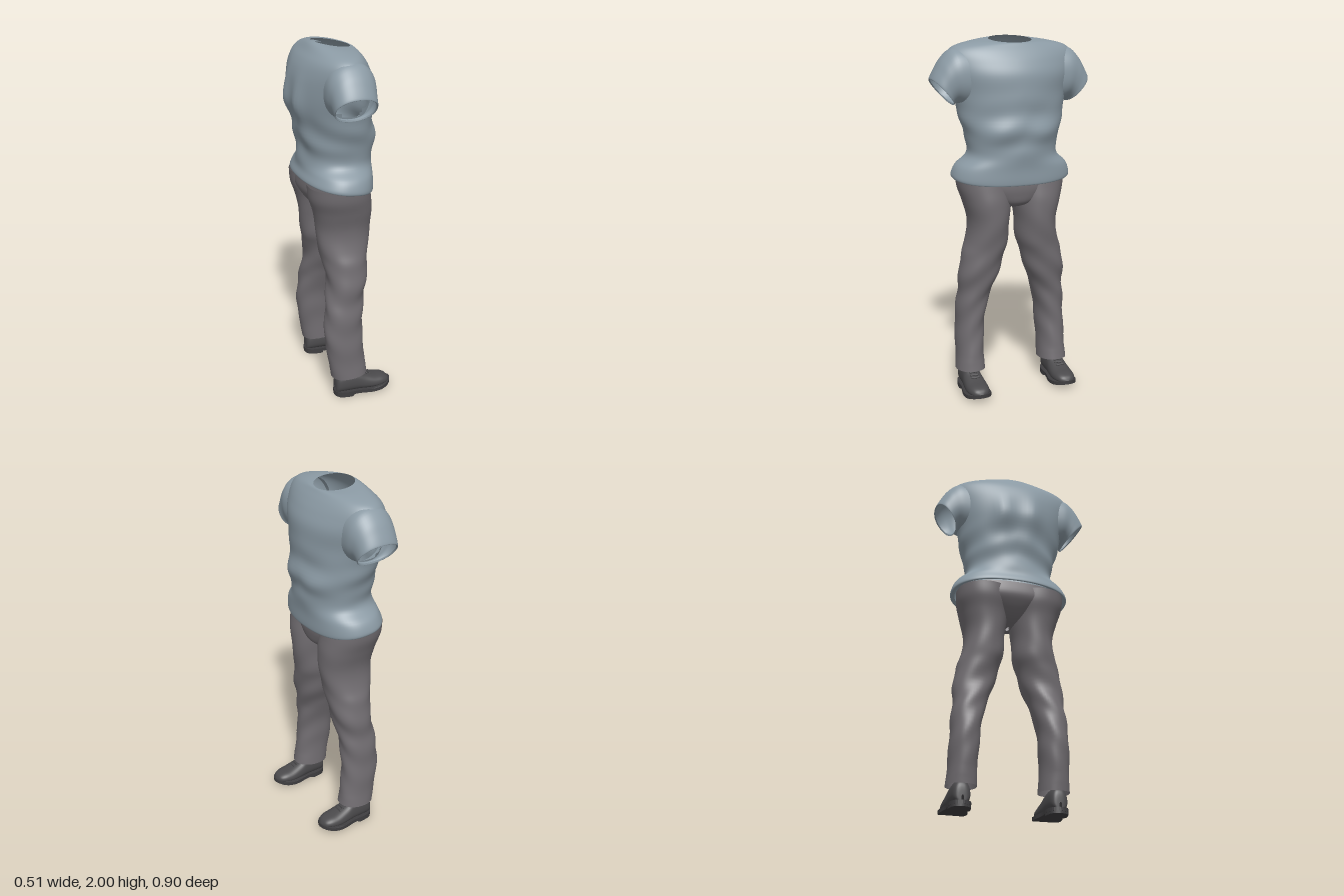
import * as THREE from 'three';

const fabric = (name, color) => {
  const m = new THREE.MeshStandardMaterial({ color, side: THREE.DoubleSide });
  m.name = name;
  return m;
};

// Catmull-Rom resampling of a list of cross-section rows
function resample(rows, steps) {
  const out = [];
  const at = i => rows[Math.min(Math.max(i, 0), rows.length - 1)];
  for (let i = 0; i < rows.length - 1; i++) {
    for (let s = 0; s < steps; s++) {
      const t = s / steps;
      out.push(rows[i].map((b, k) => {
        const a = at(i - 1)[k], c = at(i + 1)[k], d = at(i + 2)[k];
        return b + 0.5 * t * (c - a + t * (2 * a - 5 * b + 4 * c - d + t * (3 * (b - c) + d - a)));
      }));
    }
  }
  out.push(rows[rows.length - 1]);
  return out;
}

const pw = (v, e) => Math.sign(v) * Math.pow(Math.abs(v), e);

// Skin closed rings; point(row, cos, sin) gives a vertex, skip(p) leaves holes
function loft(name, material, rows, point, { steps = 5, sides = 56, skip = null } = {}) {
  const rings = resample(rows, steps), pts = [], index = [];
  for (const r of rings) {
    for (let i = 0; i < sides; i++) {
      const a = i / sides * Math.PI * 2;
      pts.push(new THREE.Vector3(...point(r, Math.cos(a), Math.sin(a))));
    }
  }
  for (let j = 0; j < rings.length - 1; j++) {
    for (let i = 0; i < sides; i++) {
      const a = j * sides + i, b = j * sides + (i + 1) % sides, c = a + sides, d = b + sides;
      if (skip && skip(pts[a].clone().add(pts[d]).multiplyScalar(0.5))) continue;
      index.push(a, c, b, b, c, d);
    }
  }
  const g = new THREE.BufferGeometry().setFromPoints(pts);
  g.setIndex(index);
  g.computeVertexNormals();
  const m = new THREE.Mesh(g, material);
  m.name = name;
  return m;
}

export function createModel() {
  const shirtMat = fabric('shirt blue grey', 0x8b9aa4);
  const pantsMat = fabric('trouser grey', 0x716d71);
  const shoeMat = fabric('shoe charcoal', 0x4b4a4c);
  const soleMat = fabric('sole dark', 0x3f3e40);
  const model = new THREE.Group();
  model.name = 'outfit';

  // Shirt body: [y, back x, front x, half width, roundness, front drop]
  const torso = [
    [1.245, -0.19, 0.165, 0.315, 0.85, 0.03],
    [1.238, -0.208, 0.182, 0.335, 0.85, 0.03],
    [1.26, -0.208, 0.188, 0.338, 0.86, 0.025],
    [1.31, -0.195, 0.19, 0.315, 0.88, 0.01],
    [1.36, -0.19, 0.195, 0.262, 0.9, 0],
    [1.42, -0.19, 0.203, 0.25, 0.9, 0],
    [1.5, -0.198, 0.213, 0.275, 0.95, 0],
    [1.6, -0.215, 0.2, 0.3, 1, 0],
    [1.7, -0.238, 0.2, 0.325, 1.05, 0],
    [1.8, -0.232, 0.195, 0.355, 1.05, 0],
    [1.87, -0.215, 0.168, 0.37, 1.05, 0],
    [1.92, -0.19, 0.138, 0.355, 1, 0],
    [1.955, -0.16, 0.113, 0.31, 1, 0.002],
    [1.978, -0.135, 0.1, 0.21, 1, 0.01],
    [1.985, -0.115, 0.09, 0.12, 1, 0.016],
  ];
  model.add(loft('shirtBody', shirtMat, torso, ([y, x0, x1, w, e, drop], c, s) => {
    const z = w * pw(s, e);
    let x = (x0 + x1) / 2 + (x1 - x0) / 2 * pw(c, e);
    // shoulder blades and soft cloth folds
    const mid = Math.exp(-Math.pow((y - 1.68) / 0.12, 2));
    if (c < 0) x -= 0.022 * mid * Math.exp(-Math.pow((Math.abs(z) - 0.09) / 0.05, 2));
    const fold = Math.exp(-Math.pow((y - 1.5) / 0.16, 2));
    x += 0.006 * fold * c * Math.sin(38 * y + 9 * Math.abs(z)) + 0.004 * fold * c * Math.sin(23 * z + 20 * y);
    return [x, y - drop * c, z + 0.005 * fold * s * Math.sin(45 * y + 8 * x)];
  }, {
    sides: 80,
    skip: p => Math.abs(p.z) > 0.2 && Math.hypot((p.x + 0.02) / 0.1, (p.y - 1.755) / 0.095) < 1,
  }));

  // Everything paired is built for the left (+z) and mirrored
  const half = new THREE.Group();
  half.name = 'leftHalf';

  // Sleeve: [top z, top y, bottom z, bottom y, back x, front x]
  const sleeve = [
    [0.25, 1.945, 0.25, 1.63, -0.15, 0.115],
    [0.335, 1.938, 0.285, 1.64, -0.15, 0.115],
    [0.39, 1.89, 0.31, 1.65, -0.142, 0.105],
    [0.425, 1.835, 0.325, 1.645, -0.137, 0.098],
    [0.45, 1.785, 0.33, 1.64, -0.133, 0.095],
    [0.443, 1.78, 0.328, 1.65, -0.125, 0.088],
  ];
  half.add(loft('sleeve', shirtMat, sleeve, ([zt, yt, zb, yb, x0, x1], c, s) => {
    const k = -pw(s, 0.9) / 2;
    return [(x0 + x1) / 2 + (x1 - x0) / 2 * pw(c, 0.9), (yt + yb) / 2 + k * (yt - yb), (zt + zb) / 2 + k * (zt - zb)];
  }));

  // Trouser leg: [y, back x, front x, inner z, outer z]
  const leg = [
    [0.125, -0.1, 0.108, 0.172, 0.335],
    [0.2, -0.112, 0.098, 0.175, 0.33],
    [0.3, -0.128, 0.088, 0.172, 0.328],
    [0.4, -0.137, 0.082, 0.165, 0.325],
    [0.52, -0.128, 0.088, 0.148, 0.318],
    [0.6, -0.118, 0.095, 0.12, 0.312],
    [0.7, -0.105, 0.118, 0.085, 0.308],
    [0.8, -0.118, 0.13, 0.055, 0.293],
    [0.88, -0.138, 0.145, 0.036, 0.265],
    [1.0, -0.148, 0.162, 0.028, 0.253],
    [1.1, -0.165, 0.165, 0.015, 0.278],
    [1.18, -0.19, 0.155, 0.004, 0.302],
    [1.25, -0.195, 0.145, 0, 0.308],
  ];
  half.add(loft('trouserLeg', pantsMat, leg, ([y, x0, x1, z0, z1], c, s) => {
    const f = 0.004 * Math.exp(-Math.pow((y - 0.6) / 0.35, 2)) * Math.sin(34 * y + 4 * s);
    return [(x0 + x1) / 2 + (x1 - x0) / 2 * pw(c, 0.92) + f * c, y + 0.008 * c * (y < 0.2), (z0 + z1) / 2 + (z1 - z0) / 2 * pw(s, 0.92) + f * s];
  }));

  // Shoe upper: [x, top y, half width]
  const shoe = new THREE.Group();
  shoe.name = 'shoe';
  shoe.position.z = 0.262;
  const lift = x => 0.4 * Math.pow(Math.max(0, x - 0.12), 2) * 3;
  const upper = [
    [-0.084, 0.06, 0.008], [-0.08, 0.11, 0.035], [-0.06, 0.138, 0.05], [-0.01, 0.148, 0.056],
    [0.045, 0.142, 0.06], [0.09, 0.117, 0.066], [0.15, 0.095, 0.07],
    [0.2, 0.086, 0.063], [0.232, 0.072, 0.043], [0.246, 0.05, 0.01],
  ];
  shoe.add(loft('shoeUpper', shoeMat, upper, ([x, top, w], c, s) => {
    const bot = 0.022 + lift(x);
    const h = pw(s, 0.85) * 0.5 + 0.5;
    return [x, bot + (top - bot) * h, w * pw(c, 0.75) * (1 - 0.2 * h)];
  }, { steps: 4, sides: 32 }));

  // Sole and heel, with a slight toe spring
  const outline = (pts) => new THREE.Shape(new THREE.CatmullRomCurve3(
    pts.map(([x, z]) => new THREE.Vector3(x, z, 0)), true).getPoints(48).map(p => new THREE.Vector2(p.x, p.y)));
  const slab = (name, pts, top, depth) => {
    const g = new THREE.ExtrudeGeometry(outline(pts), { depth, bevelEnabled: false });
    g.rotateX(Math.PI / 2).translate(0, top, 0);
    const p = g.attributes.position;
    for (let i = 0; i < p.count; i++) p.setY(i, p.getY(i) + lift(p.getX(i)));
    g.computeVertexNormals();
    const m = new THREE.Mesh(g, soleMat);
    m.name = name;
    shoe.add(m);
  };
  const side = [[-0.075, 0.04], [-0.03, 0.058], [0.05, 0.06], [0.13, 0.075], [0.2, 0.068], [0.24, 0.038]];
  const mirror = a => a.map(([x, z]) => [x, -z]).reverse();
  slab('sole', [[-0.09, 0], ...side, [0.255, 0], ...mirror(side)], 0.032, 0.02);
  const heel = [[-0.07, 0.042], [-0.03, 0.056], [0.015, 0.054]];
  slab('heel', [[-0.088, 0], ...heel, ...mirror(heel)], 0.014, 0.014);

  // Laces across the instep
  for (const [x, y] of [[0.065, 0.135], [0.085, 0.122], [0.105, 0.113], [0.125, 0.105]]) {
    const lace = new THREE.Mesh(new THREE.CapsuleGeometry(0.005, 0.04, 3, 8), shoeMat);
    lace.name = 'lace';
    lace.rotation.x = Math.PI / 2;
    lace.position.set(x, y, 0);
    shoe.add(lace);
  }
  half.add(shoe);

  const other = half.clone();
  other.name = 'rightHalf';
  other.scale.z = -1;
  model.add(half, other);

  // Trouser seat: [y, back x, front x, half width]
  const seat = [
    [1.065, -0.02, 0.03, 0.01], [1.075, -0.08, 0.09, 0.05], [1.1, -0.125, 0.135, 0.13],
    [1.15, -0.168, 0.15, 0.23], [1.2, -0.192, 0.153, 0.29], [1.27, -0.185, 0.145, 0.295],
  ];
  model.add(loft('trouserSeat', pantsMat, seat, ([y, x0, x1, w], c, s) =>
    [(x0 + x1) / 2 + (x1 - x0) / 2 * pw(c, 0.85), y, w * pw(s, 0.85)]));

  return model;
}
